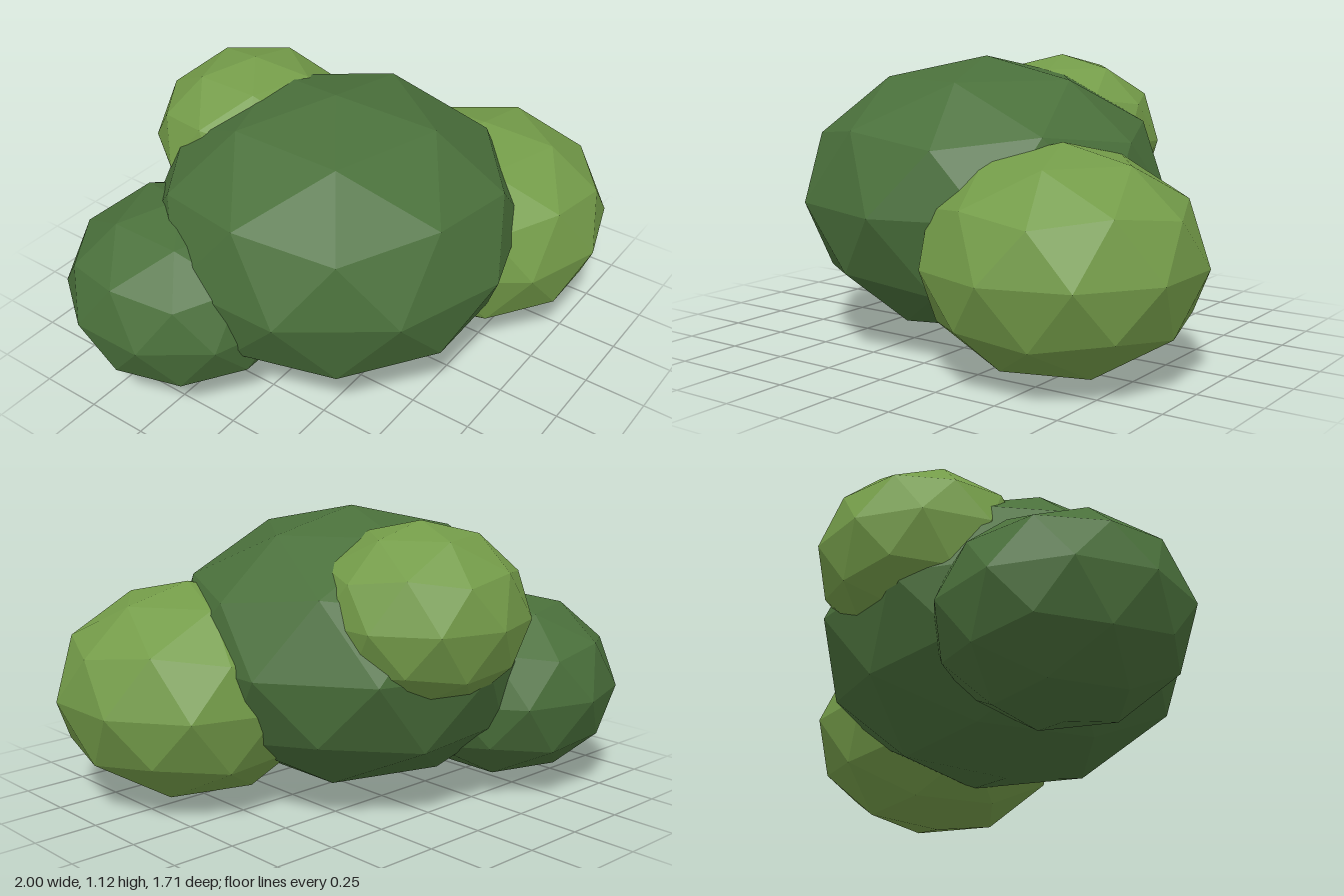
import * as THREE from 'three';

const darkLeaf = new THREE.MeshStandardMaterial({ color: 0x4a703b, flatShading: true });
darkLeaf.name = 'darkLeaf';
const lightLeaf = new THREE.MeshStandardMaterial({ color: 0x749c49, flatShading: true });
lightLeaf.name = 'lightLeaf';

// Faceted leaf clump: a squashed icosphere with a corner at its top and bottom
function clump(name, material, radius, height, x, y, z) {
  const geometry = new THREE.IcosahedronGeometry(1, 1);
  geometry.rotateZ(-Math.atan(2 / (1 + Math.sqrt(5)))); // turn a corner straight up
  geometry.scale(radius, height, radius);
  geometry.computeVertexNormals();
  const mesh = new THREE.Mesh(geometry, material);
  mesh.name = name;
  mesh.position.set(x, y, z);
  return mesh;
}

export function createModel() {
  const bush = new THREE.Group();
  bush.name = 'bush';
  bush.add(
    clump('mainClump', darkLeaf, 0.735, 0.55, -0.07, 0.574, 0),
    clump('frontClump', lightLeaf, 0.53, 0.424, 0.495, 0.424, 0.325),
    clump('backClump', darkLeaf, 0.47, 0.376, -0.554, 0.4, -0.37),
    clump('topClump', lightLeaf, 0.412, 0.35, 0.003, 0.765, -0.443)
  );
  return bush;
}
